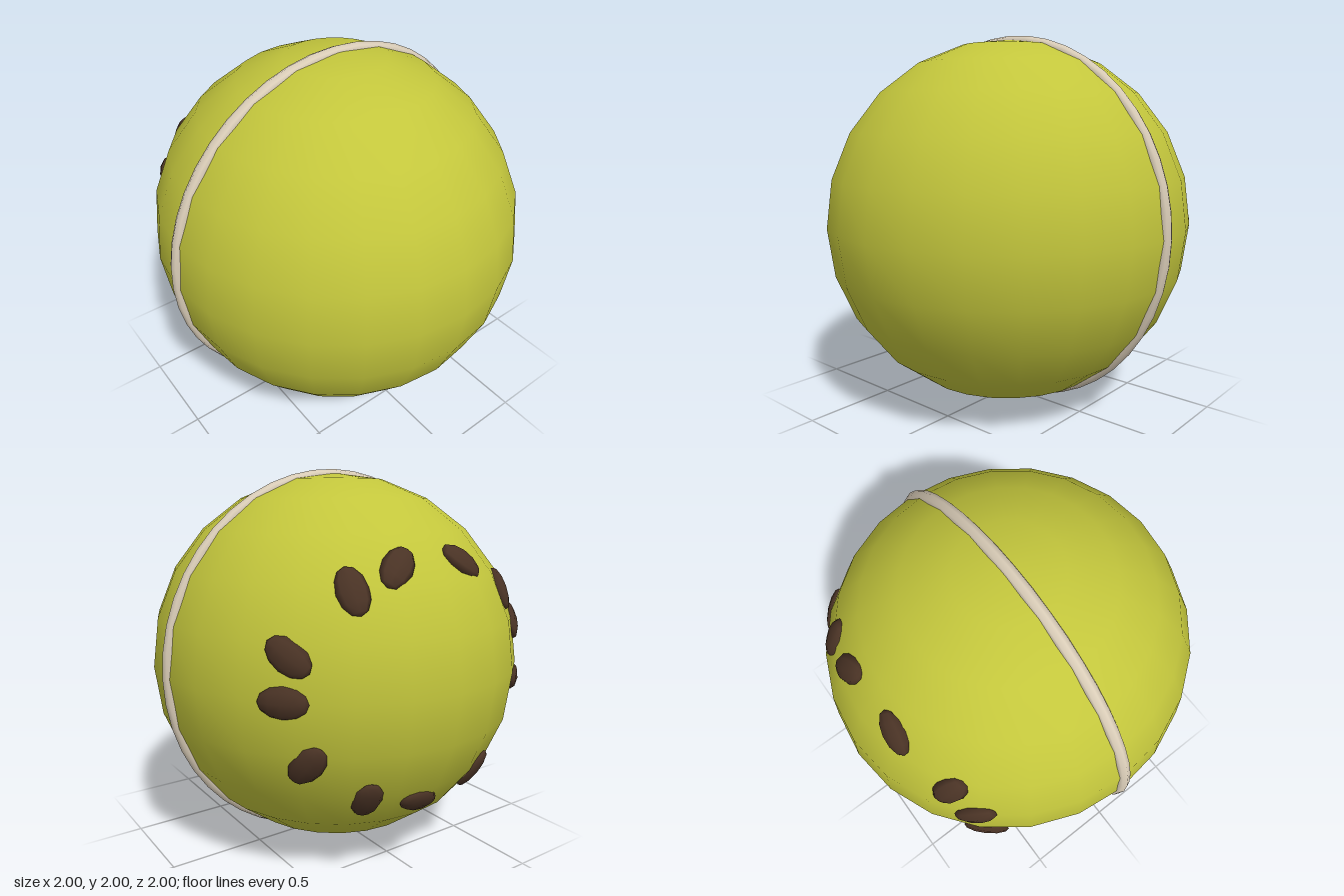
import * as THREE from 'three';

const rind = new THREE.MeshStandardMaterial({ color: 0xc3c63c });
rind.name = 'yellow green';
const cream = new THREE.MeshStandardMaterial({ color: 0xdacdb8 });
cream.name = 'cream';
const brown = new THREE.MeshStandardMaterial({ color: 0x4a3325 });
brown.name = 'dark brown';

// Half sizes of the ball
const RX = 0.98, RY = 0.98, RZ = 1;

// Seeds around the back: position x, y and long axis direction x, y
const SEEDS = [
  [0.21, 0.56, -0.174, 0.163], [0.43, 0.47, 0, 0.2],
  [0.70, 0.20, 0.11, 0.13], [0.73, 0.0, 0.17, 0],
  [0.63, -0.30, 0.067, -0.19], [0.35, -0.51, -0.025, -0.17],
  [0.06, -0.575, -0.25, -0.08], [-0.33, -0.51, -0.10, 0.215],
  [-0.71, -0.09, -0.17, -0.02], [-0.66, 0.23, -0.13, 0.155],
  [-0.52, 0.41, -0.036, 0.2], [-0.18, 0.57, -0.215, -0.134],
];

function makeSeed(geometry, [x, y, dx, dy]) {
  // Sit on the surface, long axis laid in the tangent plane
  const z = -RZ * Math.sqrt(1 - (x / RX) ** 2 - (y / RY) ** 2);
  const normal = new THREE.Vector3(x / RX ** 2, y / RY ** 2, z / RZ ** 2).normalize();
  const along = new THREE.Vector3(dx, dy, -(normal.x * dx + normal.y * dy) / normal.z).normalize();
  const across = new THREE.Vector3().crossVectors(along, normal);
  const seed = new THREE.Mesh(geometry, brown);
  seed.quaternion.setFromRotationMatrix(new THREE.Matrix4().makeBasis(across, along, normal));
  seed.position.set(x, y, z).addScaledVector(normal, -0.012);
  seed.name = 'seed';
  return seed;
}

export function createModel() {
  const model = new THREE.Group();
  model.name = 'seededBall';
  const centre = new THREE.Group();
  centre.name = 'ball';
  centre.position.y = 1;
  model.add(centre);

  // Ball
  const body = new THREE.Mesh(new THREE.SphereGeometry(1, 24, 12).scale(RX, RY, RZ), rind);
  body.name = 'body';
  centre.add(body);

  // Raised band around the middle
  const band = new THREE.Mesh(new THREE.TorusGeometry(0.965, 0.035, 8, 48), cream);
  band.name = 'band';
  centre.add(band);

  // Ring of seeds on the back
  const seeds = new THREE.Group();
  seeds.name = 'seeds';
  const seedGeometry = new THREE.SphereGeometry(1, 8, 6).scale(0.075, 0.118, 0.036);
  for (const row of SEEDS) seeds.add(makeSeed(seedGeometry, row));
  centre.add(seeds);

  return model;
}
